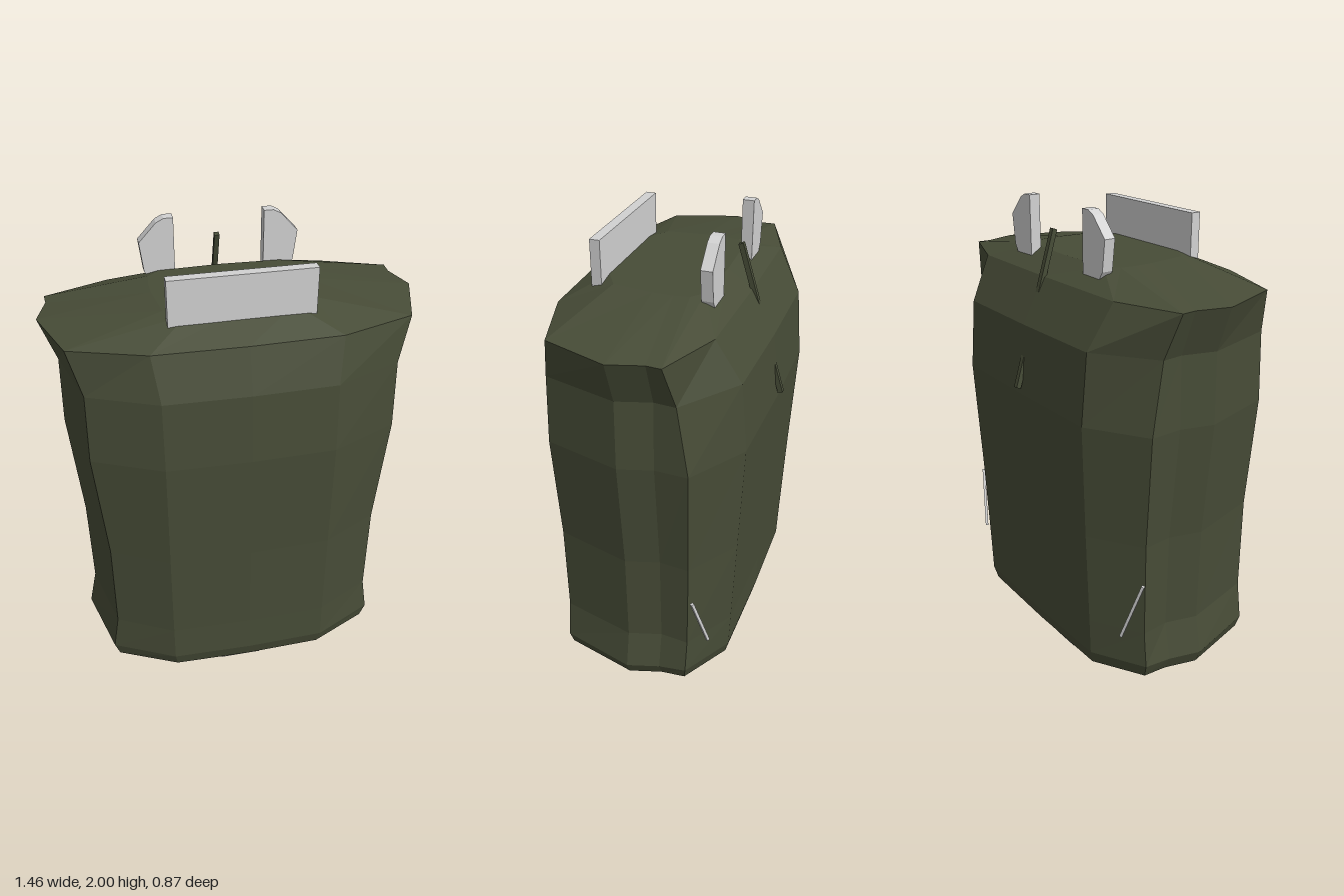
import * as THREE from 'three';

const mat = (name, color, side = THREE.FrontSide) => {
  const m = new THREE.MeshStandardMaterial({ color, side });
  m.name = name;
  return m;
};

// Lofts closed rings of [x, y, z] points (bottom to top) with fan caps, flat shaded
function loft(rings) {
  const pos = [];
  const tri = (a, b, c) => pos.push(...a, ...b, ...c);
  const n = rings[0].length;
  const middle = r => [0, 1, 2].map(k => r.reduce((s, p) => s + p[k], 0) / n);
  const first = rings[0], last = rings[rings.length - 1];
  const low = middle(first), high = middle(last);
  for (let i = 0; i < n; i++) {
    const j = (i + 1) % n;
    for (let r = 0; r + 1 < rings.length; r++) {
      const a = rings[r], b = rings[r + 1];
      tri(a[i], a[j], b[j]);
      tri(a[i], b[j], b[i]);
    }
    tri(low, first[j], first[i]);
    tri(high, last[i], last[j]);
  }
  const g = new THREE.BufferGeometry();
  g.setAttribute('position', new THREE.Float32BufferAttribute(pos, 3));
  g.computeVertexNormals();
  return g;
}

// Completes a half outline on the +x side, ordered front to back, with its mirror image
const mirrorRing = (half, y) => [
  ...half.map(([x, z]) => [x, y, z]),
  ...half.filter(p => p[0] > 0).reverse().map(([x, z]) => [-x, y, z]),
];

export function createModel() {
  const group = new THREE.Group();
  const green = mat('olive green', 0x474c37);
  const grey = mat('light grey', 0xd2d2d2);
  const add = (name, geometry, material) => {
    const m = new THREE.Mesh(geometry, material);
    m.name = name;
    group.add(m);
    return m;
  };
  // Square bar between two points
  const bar = (name, from, to, w, d, material) => {
    const a = new THREE.Vector3(...from), b = new THREE.Vector3(...to);
    const m = add(name, new THREE.BoxGeometry(w, d, a.distanceTo(b)), material);
    m.position.copy(a).add(b).multiplyScalar(0.5);
    m.lookAt(b);
    return m;
  };

  // Faceted body: y, front z, front corner x, shoulder x, shoulder z,
  // side x, rear shoulder x, rear shoulder z, rear corner x, rear z
  const levels = [
    [0.18, 0.42, 0.32, 0.565, 0.30, 0.64, 0.59, -0.23, 0.39, -0.355],
    [0.24, 0.435, 0.33, 0.585, 0.305, 0.665, 0.61, -0.24, 0.40, -0.37],
    [0.40, 0.43, 0.33, 0.56, 0.305, 0.632, 0.60, -0.245, 0.40, -0.375],
    [0.80, 0.43, 0.33, 0.56, 0.305, 0.637, 0.605, -0.25, 0.40, -0.39],
    [1.27, 0.435, 0.33, 0.60, 0.305, 0.677, 0.64, -0.26, 0.41, -0.41],
    [1.55, 0.415, 0.33, 0.595, 0.295, 0.67, 0.635, -0.215, 0.41, -0.385],
    [1.725, 0.36, 0.355, 0.645, 0.257, 0.732, 0.695, -0.187, 0.44, -0.29],
  ];
  const rings = levels.map(([y, fz, fx, sx, sz, wx, rx, rz, bx, bz]) => mirrorRing([
    [0, fz], [fx, fz - 0.008], [sx, sz], [wx, 0], [wx - 0.04, -0.13],
    [rx, rz], [bx, bz + 0.006], [0, bz],
  ], y));
  // Raised crown
  rings.push(mirrorRing([
    [0, 0.21], [0.2, 0.21], [0.28, 0.16], [0.3, 0], [0.3, -0.08],
    [0.29, -0.14], [0.24, -0.18], [0, -0.19],
  ], 1.793));
  add('body', loft(rings), green);

  // Tapered foot under the body
  const foot = [[0.1, 0.295], [0.19, 0.21], [0.222, 0.04], [0.18, -0.15], [0.075, -0.25]];
  const footRing = (y, s) => mirrorRing(foot.map(([x, z]) => [x * s, 0.025 + (z - 0.025) * s]), y);
  add('foot', loft([footRing(0, 0.91), footRing(0.13, 0.98), footRing(0.2, 1)]), grey);

  // Upright plate at the front of the crown
  add('frontPlate', new THREE.BoxGeometry(0.55, 0.19, 0.04), grey).position.set(0, 1.855, 0.23);

  for (const s of [-1, 1]) {
    // Chamfered rear fins
    const outline = [[0.178, 1.76], [0.28, 1.76], [0.3, 1.79], [0.315, 1.91], [0.245, 1.985], [0.215, 2], [0.178, 2]];
    const shape = new THREE.Shape(outline.map(([x, y]) => new THREE.Vector2(s * x, y)));
    const fin = add('rearFin', new THREE.ExtrudeGeometry(shape, { depth: 0.045, bevelEnabled: false }), grey);
    fin.position.z = -0.23;

    // Slanted thin strips on the rear corners
    bar('sideStrip', [s * 0.62, 0.645, -0.272], [s * 0.54, 0.385, -0.315], 0.012, 0.012, grey);
  }

  // Slanted pin through the top rear edge
  bar('rearPin', [0, 1.9, -0.238], [0, 1.3, -0.425], 0.02, 0.02, green);

  return group;
}
